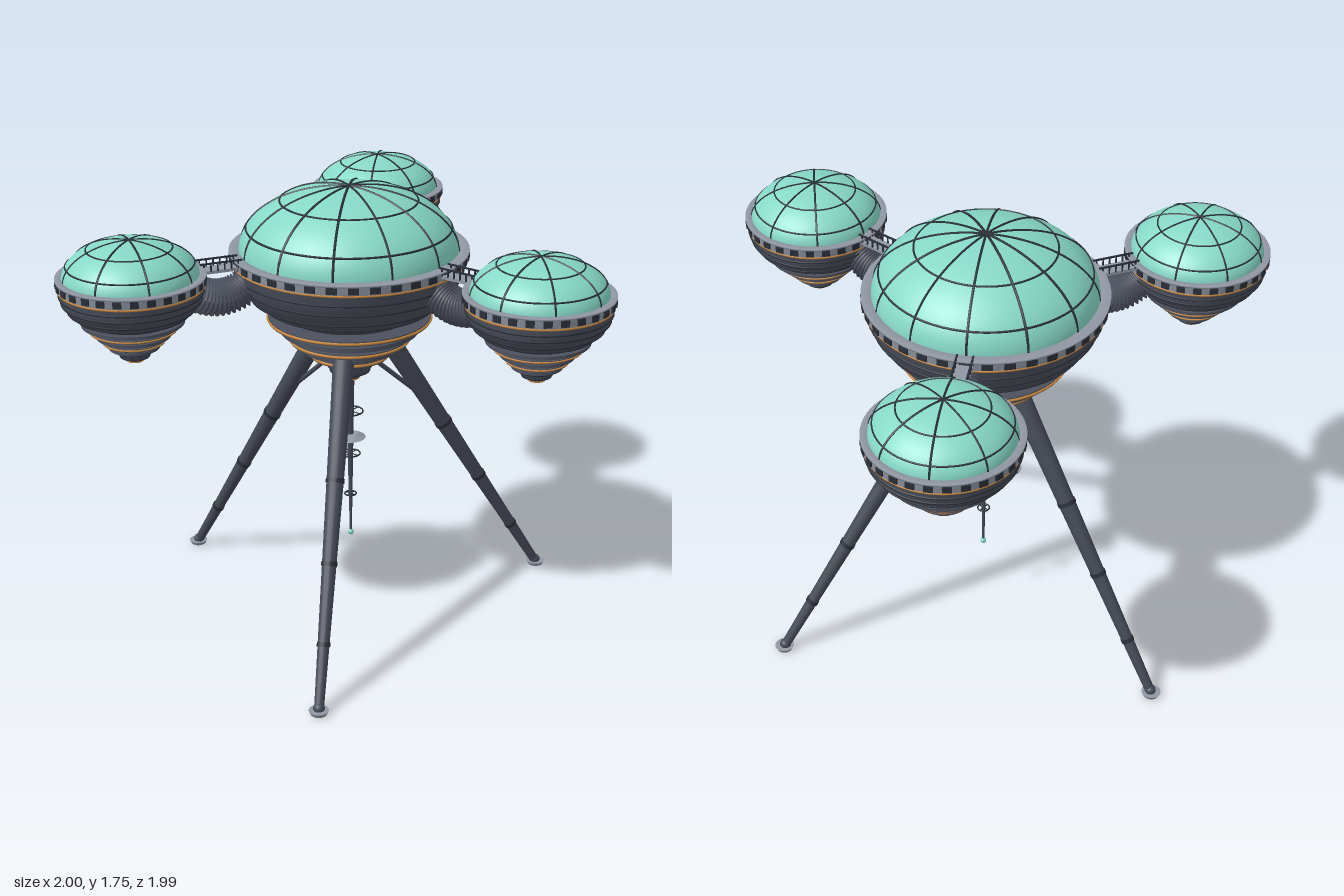
import * as THREE from 'three';

const mat = (color, side = THREE.FrontSide) => {
  const m = new THREE.MeshStandardMaterial({ side });
  m.color.set(color);
  return m;
};
const M = {
  glass: mat(0x86d8c6), hull: mat(0x4c515e, THREE.DoubleSide), rim: mat(0x9298a4),
  dark: mat(0x2a2f38), trim: mat(0xd08a3c), leg: mat(0x454a57),
};
const V = (x, y, z) => new THREE.Vector3(x, y, z);

function add(parent, name, geo, material, x = 0, y = 0, z = 0) {
  const mesh = new THREE.Mesh(geo, material);
  mesh.name = name;
  mesh.position.set(x, y, z);
  parent.add(mesh);
  return mesh;
}

const lathe = (pts, seg = 64) =>
  new THREE.LatheGeometry(pts.map(([r, y]) => new THREE.Vector2(r, y)), seg);

// Horizontal hoop
function hoop(parent, name, r, y, t, material) {
  add(parent, name, new THREE.TorusGeometry(r, t, 6, 64), material, 0, y).rotation.x = Math.PI / 2;
}

// Tapered rod between two points
function rod(parent, name, a, b, ra, rb, material, seg = 16) {
  const d = b.clone().sub(a);
  const mesh = add(parent, name, new THREE.CylinderGeometry(rb, ra, d.length(), seg), material);
  mesh.position.copy(a).addScaledVector(d, 0.5);
  mesh.quaternion.setFromUnitVectors(V(0, 1, 0), d.normalize());
  return mesh;
}

// Glass dome with ribs over a round bowl, stacked plates and a core
function saucer(name, s) {
  const g = new THREE.Group();
  g.name = name;
  const base = 1.495, h = s.top - base;

  add(g, 'dome', new THREE.SphereGeometry(1, 64, 24, 0, Math.PI * 2, 0, Math.PI / 2), M.glass, 0, base)
    .scale.set(s.dome, h, s.dome);
  const arc = new THREE.CatmullRomCurve3(Array.from({ length: 13 }, (_, i) => {
    const a = i / 12 * Math.PI;
    return V(Math.cos(a) * s.dome, Math.sin(a) * h, 0);
  }));
  const ribGeo = new THREE.TubeGeometry(arc, 40, s.rib, 5);
  for (let i = 0; i < s.ribs / 2; i++)
    add(g, 'domeRib', ribGeo, M.dark, 0, base).rotation.y = i / s.ribs * Math.PI * 2;
  for (const a of [0.38, 0.9])
    hoop(g, 'domeHoop', s.dome * Math.cos(a), base + h * Math.sin(a), s.rib * 0.8, M.dark);

  // Rim with a row of windows and a trim line
  add(g, 'rim', lathe([[s.R - 0.012, 1.465], [s.R - 0.005, 1.47], [s.R - 0.005, 1.5], [s.R, 1.5],
    [s.R, 1.507], [s.dome - 0.01, 1.507], [s.dome - 0.01, 1.49]]), M.rim);
  const winGeo = new THREE.BoxGeometry(Math.PI * s.R / s.windows, 0.024, 0.012);
  for (let i = 0; i < s.windows; i++) {
    const a = i / s.windows * Math.PI * 2;
    add(g, 'window', winGeo, M.dark, Math.sin(a) * (s.R - 0.006), 1.486, Math.cos(a) * (s.R - 0.006)).rotation.y = a;
  }
  hoop(g, 'trimLine', s.R - 0.01, 1.465, 0.005, M.trim);

  // Bowl with seams that follow its curve
  const bowl = new THREE.SplineCurve(s.bowl.map(([r, y]) => new THREE.Vector2(r, y)));
  const prof = bowl.getPoints(20).map((p) => [p.x, p.y]);
  add(g, 'bowl', lathe([[0, s.bowl[0][1]], ...prof]), M.hull);
  for (const t of [0.3, 0.5, 0.7, 0.85]) {
    const p = bowl.getPointAt(t);
    hoop(g, 'bowlSeam', p.x, p.y, 0.004, M.dark);
  }

  // Tiered plates
  s.plates.forEach(([r, y], i) => {
    add(g, 'plate', new THREE.CylinderGeometry(r, r, s.plate, 48), M.hull, 0, y);
    if (i % 2 === s.trimRow) hoop(g, 'plateTrim', r, y, s.plate * 0.3, M.trim);
  });

  // Core with rounded tip and small equipment boxes
  add(g, 'core', lathe(s.core, 32), M.hull);
  const [cr, ct] = s.core[s.core.length - 2], cb = s.core[s.core.length - 3][1];
  const boxGeo = new THREE.BoxGeometry(cr * 0.32, (ct - cb) * 0.16, 0.014);
  for (let row = 0; row < 4; row++)
    for (let i = 0; i < 12; i++) {
      const a = (i + row % 2 / 2) / 12 * Math.PI * 2;
      add(g, 'equipmentBox', boxGeo, M.dark, Math.sin(a) * cr, cb + (ct - cb) * (row + 0.5) / 4, Math.cos(a) * cr)
        .rotation.y = a;
    }
  for (let i = 1; i < s.core.length - 2; i++) hoop(g, 'coreSeam', s.core[i][0], s.core[i][1], 0.004, i === 1 ? M.trim : M.dark);
  return g;
}

// Walkway and sagging bellows joining hull to pod, pointing along +z
function bridge() {
  const g = new THREE.Group();
  g.name = 'bridge';
  add(g, 'walkway', new THREE.BoxGeometry(0.06, 0.012, 0.2), M.rim, 0, 1.487, 0.505);
  for (const x of [-0.028, 0.028]) {
    add(g, 'handrail', new THREE.BoxGeometry(0.006, 0.006, 0.16), M.dark, x, 1.52, 0.51);
    for (let i = 0; i < 6; i++)
      add(g, 'railPost', new THREE.BoxGeometry(0.005, 0.03, 0.005), M.dark, x, 1.505, 0.445 + i * 0.026);
  }
  const path = new THREE.QuadraticBezierCurve3(V(0, 1.43, 0.38), V(0, 1.325, 0.508), V(0, 1.43, 0.636));
  const seg = 72, sides = 20;
  const geo = new THREE.TubeGeometry(path, seg, 0.065, sides);
  const pos = geo.attributes.position, v = V(0, 0, 0);
  // Every third ring stands proud to form the folds
  for (let i = 0; i < pos.count; i++) {
    const ring = Math.floor(i / (sides + 1));
    const c = path.getPointAt(ring / seg);
    v.fromBufferAttribute(pos, i).sub(c).multiplyScalar(ring % 4 === 0 ? 1.08 : ring % 4 === 2 ? 0.84 : 0.96).add(c);
    pos.setXYZ(i, v.x, v.y, v.z);
  }
  geo.computeVertexNormals();
  add(g, 'bellows', geo, M.hull);
  return g;
}

// Leg with collars, foot and brace, leaning out along +z
function leg() {
  const g = new THREE.Group();
  g.name = 'leg';
  const top = V(0, 1.15, 0.14), foot = V(0, 0.01, 0.84);
  rod(g, 'legTube', foot, top, 0.018, 0.041, M.leg);
  for (const t of [0.18, 0.4, 0.63]) {
    const a = foot.clone().lerp(top, t - 0.006), b = foot.clone().lerp(top, t + 0.006);
    const r = 0.021 + t * 0.023;
    rod(g, 'legCollar', a, b, r, r, M.dark);
  }
  add(g, 'foot', new THREE.CylinderGeometry(0.037, 0.03, 0.015, 24), M.rim, 0, 0.0075, 0.84);
  add(g, 'ankle', new THREE.SphereGeometry(0.022, 16, 8), M.leg, 0, 0.02, 0.836);
  rod(g, 'brace', V(0, 1.05, 0.09), V(0, 0.83, 0.335), 0.009, 0.009, M.leg, 8);
  return g;
}

// Hanging needle with hoops and a glass bead
function antenna() {
  const g = new THREE.Group();
  g.name = 'antenna';
  rod(g, 'needle', V(0, 0.31, 0), V(0, 1.02, 0), 0.004, 0.018, M.leg);
  for (const [r, y] of [[0.05, 0.84], [0.038, 0.66], [0.023, 0.485]]) {
    hoop(g, 'antennaHoop', r, y, 0.003, M.dark);
    for (const w of [0, Math.PI / 2])
      add(g, 'hoopSpoke', new THREE.BoxGeometry(r * 2, 0.003, 0.003), M.dark, 0, y).rotation.y = w;
  }
  add(g, 'antennaDish', new THREE.CylinderGeometry(0.03, 0.06, 0.015, 32), M.rim, 0, 0.738);
  add(g, 'bead', new THREE.SphereGeometry(0.012, 16, 12), M.glass, 0, 0.315);
  return g;
}

export function createModel() {
  const model = new THREE.Group();
  model.name = 'tripodStation';
  const body = new THREE.Group();
  body.name = 'body';
  body.position.z = -0.12;
  model.add(body);

  body.add(saucer('mainHull', {
    R: 0.45, dome: 0.413, top: 1.742, ribs: 12, rib: 0.005, windows: 36, plate: 0.018, trimRow: 0,
    bowl: [[0.24, 1.245], [0.36, 1.315], [0.415, 1.39], [0.44, 1.468]],
    plates: [[0.31, 1.235], [0.265, 1.192], [0.23, 1.152], [0.185, 1.117], [0.15, 1.085]],
    core: [[0, 0.975], [0.035, 0.985], [0.075, 1.015], [0.105, 1.06], [0.11, 1.25], [0, 1.25]],
  }));
  for (let i = 0; i < 3; i++) {
    const arm = new THREE.Group();
    arm.name = 'podArm';
    arm.rotation.y = i * Math.PI * 2 / 3;
    const pod = saucer('pod', {
      R: 0.27, dome: 0.247, top: 1.637, ribs: 8, rib: 0.004, windows: 28, plate: 0.011, trimRow: 1,
      bowl: [[0.155, 1.335], [0.215, 1.37], [0.25, 1.415], [0.262, 1.468]],
      plates: [[0.187, 1.333], [0.16, 1.307], [0.135, 1.282], [0.112, 1.258], [0.092, 1.236]],
      core: [[0, 1.18], [0.03, 1.184], [0.052, 1.2], [0.075, 1.225], [0.08, 1.335], [0, 1.335]],
    });
    pod.position.z = 0.84;
    arm.add(pod, bridge());
    const l = leg();
    l.rotation.y = (i + 0.5) * Math.PI * 2 / 3;
    body.add(arm, l);
  }
  body.add(antenna());
  return model;
}
